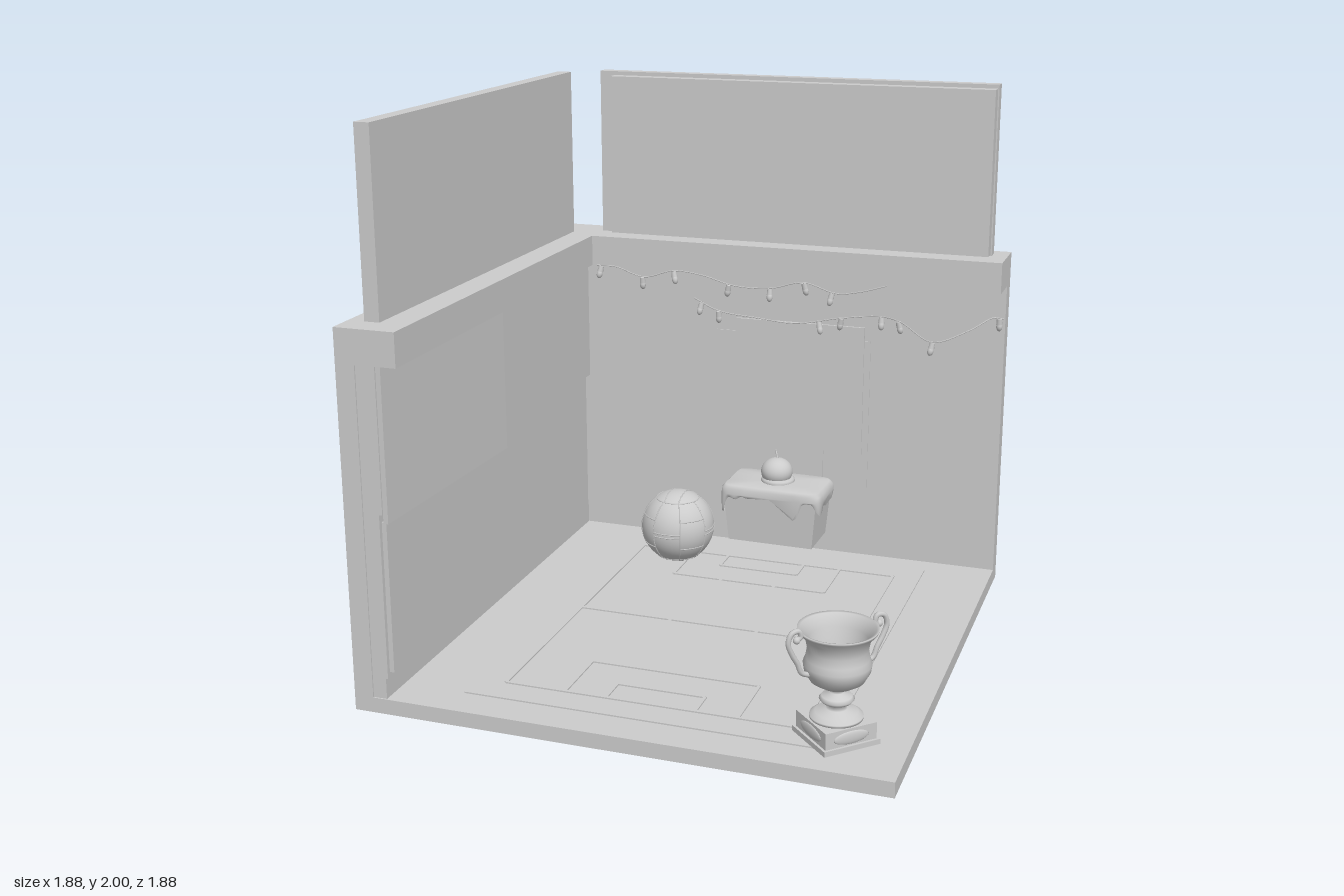
import * as THREE from 'three';

const mat = new THREE.MeshStandardMaterial({ color: 0xcccccc });
const thin = new THREE.MeshStandardMaterial({ color: 0xcccccc, side: THREE.DoubleSide });
const V = (x, y, z) => new THREE.Vector3(x, y, z);

function add(parent, name, geo, pos = [0, 0, 0], material = mat) {
  const m = new THREE.Mesh(geo, material);
  m.name = name;
  m.position.set(...pos);
  parent.add(m);
  return m;
}
function group(parent, name, pos = [0, 0, 0]) {
  const g = new THREE.Group();
  g.name = name;
  g.position.set(...pos);
  parent.add(g);
  return g;
}
// box given by its limits on each axis
function box(parent, name, x0, x1, y0, y1, z0, z1) {
  return add(parent, name, new THREE.BoxGeometry(x1 - x0, y1 - y0, z1 - z0),
    [(x0 + x1) / 2, (y0 + y1) / 2, (z0 + z1) / 2]);
}
const tube = (pts, r, n = 24, sides = 6, closed = false) =>
  new THREE.TubeGeometry(new THREE.CatmullRomCurve3(pts, closed), n, r, sides, closed);

function buildRoom(root) {
  const g = group(root, 'room');
  box(g, 'floor', -0.94, 0.94, 0, 0.055, -0.94, 0.94);
  box(g, 'backWall', -0.94, 0.94, 0.055, 1.35, -0.94, -0.87);
  box(g, 'leftWall', -0.94, -0.87, 0.055, 1.35, -0.87, 0.94);
  box(g, 'backBeam', -0.87, 0.94, 1.23, 1.35, -0.87, -0.72);
  box(g, 'leftBeam', -0.87, -0.72, 1.23, 1.35, -0.72, 0.94);
  // cladding of the left wall
  box(g, 'skirting', -0.87, -0.82, 0.055, 0.13, -0.87, 0.935);
  box(g, 'lowerCladding', -0.87, -0.812, 0.13, 0.72, -0.845, 0.935);
  box(g, 'upperCladding', -0.87, -0.8, 0.72, 1.23, -0.865, 0.935);
  // hung panels, the upper one swung slightly outward
  box(g, 'lowerPanel', -0.812, -0.795, 0.15, 0.69, 0.07, 0.92);
  const p = box(g, 'upperPanel', -0.785, -0.767, 0.69, 1.229, 0.07, 0.93);
  p.rotation.y = -0.035;
  // signs standing on the walls
  box(g, 'leftSign', -0.87, -0.815, 1.355, 2, -0.76, 0.86);
  box(g, 'backSign', -0.72, 0.88, 1.35, 2, -0.89, -0.84);
  box(g, 'backSignFace', -0.66, 0.875, 1.355, 1.985, -0.84, -0.79);
  // flat screen and its backing on the back wall
  box(g, 'screenBacking', -0.235, 0.41, 0.315, 0.965, -0.87, -0.866);
  box(g, 'screen', -0.15, 0.385, 0.49, 1.02, -0.87, -0.86);
  box(g, 'screenStem', -0.04, 0.225, 0.3, 0.49, -0.87, -0.86);
}

function buildPitch(root) {
  const g = group(root, 'pitch', [0.045, 0, 0.02]);
  const y0 = 0.06, y1 = 0.065, w = 0.006;
  box(g, 'mat', -0.635, 0.635, 0.055, y0, -0.79, 0.79);
  const lineX = (z, a, b) => box(g, 'line', a, b, y0, y1, z - w, z + w);
  const lineZ = (x, a, b) => box(g, 'line', x - w, x + w, y0, y1, Math.min(a, b), Math.max(a, b));
  const arc = (z, r, start, len) => {
    const geo = new THREE.RingGeometry(r - w, r + w, 40, 1, start, len).rotateX(-Math.PI / 2);
    add(g, 'arcLine', geo, [0, y1, z], thin);
  };
  lineX(0, -0.53, 0.53);
  arc(0, 0.17, 0, Math.PI * 2);
  for (const s of [-1, 1]) {
    lineZ(s * 0.53, -0.68, 0.68);
    lineX(s * 0.68, -0.53, 0.53);
    for (const [half, depth] of [[0.31, 0.25], [0.16, 0.11]]) {
      lineX(s * (0.68 - depth), -half, half);
      for (const e of [-1, 1]) lineZ(e * half, s * 0.68, s * (0.68 - depth));
    }
    arc(s * 0.43, 0.11, s > 0 ? 0 : Math.PI, Math.PI);
  }
}

function buildBall(root) {
  const g = group(root, 'ball', [-0.182, 0.345, -0.23]);
  const R = 0.139;
  add(g, 'ballBody', new THREE.SphereGeometry(R, 40, 28));
  const at = (lat, lon) => V(Math.cos(lat) * Math.sin(lon), Math.sin(lat), Math.cos(lat) * Math.cos(lon)).multiplyScalar(R);
  const seam = f => add(g, 'seam', tube(Array.from({ length: 13 }, (_, i) => f(i / 12)), 0.0022, 24, 5));
  // upright seams, staggered bands and two strips over each cap
  for (let k = 0; k < 8; k++) {
    const lon = (k + 0.5) * Math.PI / 4;
    seam(t => at(-0.95 + 1.9 * t, lon));
    const lat = k % 2 ? 0.05 : 0.4;
    for (const s of [-1, 1]) {
      seam(t => at(s * lat, lon + t * Math.PI / 4));
      seam(t => at(s * 0.95, lon + t * Math.PI / 4));
    }
  }
  for (const s of [-1, 1]) for (const x of [-0.028, 0.028])
    seam(t => {
      const z = (t - 0.5) * 0.15;
      return V(x, s * Math.sqrt(R * R - x * x - z * z), z);
    });
}

function buildCake(root) {
  const g = group(root, 'cake', [0.073, 0, -0.727]);
  g.rotation.y = -0.02;
  // sponge, wider at the top
  const sponge = new THREE.BoxGeometry(0.39, 0.215, 0.225, 1, 1, 1);
  const p = sponge.attributes.position;
  for (let i = 0; i < p.count; i++)
    if (p.getY(i) < 0) p.setXYZ(i, p.getX(i) * 0.9, p.getY(i), p.getZ(i) * 0.9);
  sponge.computeVertexNormals();
  add(g, 'sponge', sponge, [0, 0.257, 0]);
  // icing: rounded outline in rings, its lower rim running down in drips
  const n = 160, pos = [], idx = [];
  const outline = (t, k) => {
    const c = Math.cos(t), s = Math.sin(t), e = 0.22;
    return [Math.sign(c) * Math.abs(c) ** e * 0.208 * k, Math.sign(s) * Math.abs(s) ** e * 0.121 * k];
  };
  const drip = (x, z) => 0.315 - 0.04 * Math.sin(x * 42 + 1) * Math.cos(z * 30) - 0.022 * Math.sin(x * 75 + z * 50);
  const rings = [[0.97, 0], [1.01, 0.012], [1.015, null, 0.35], [1, null, 0.372], [0.94, null, 0.385], [0.5, null, 0.39], [0.001, null, 0.392]];
  rings.forEach(([k, lift, y]) => {
    for (let i = 0; i < n; i++) {
      const [x, z] = outline(i / n * Math.PI * 2, k);
      pos.push(x, lift === null ? y : Math.min(0.345, drip(x, z) + lift), z);
    }
  });
  for (let r = 0; r < rings.length - 1; r++)
    for (let i = 0; i < n; i++) {
      const a = r * n + i, b = r * n + (i + 1) % n;
      idx.push(a, a + n, b, b, a + n, b + n);
    }
  const icing = new THREE.BufferGeometry();
  icing.setAttribute('position', new THREE.Float32BufferAttribute(pos, 3));
  icing.setIndex(idx);
  icing.computeVertexNormals();
  add(g, 'icing', icing, [0, 0, 0], thin);
  const collar = add(g, 'creamCollar', new THREE.TorusGeometry(0.055, 0.014, 10, 28), [0, 0.392, 0]);
  collar.rotation.x = Math.PI / 2;
  const cherry = add(g, 'cherry', new THREE.SphereGeometry(0.064, 28, 20), [-0.005, 0.428, 0]);
  cherry.scale.y = 0.88;
  add(g, 'cherryStem', tube([V(0, 0.47, 0), V(-0.006, 0.49, -0.006), V(-0.016, 0.512, -0.018)], 0.0035, 10));
}

function buildTrophy(root) {
  const g = group(root, 'trophy', [0.695, 0, 0.72]);
  g.rotation.y = Math.PI / 4;
  box(g, 'plinthFoot', -0.104, 0.104, 0.06, 0.078, -0.104, 0.104);
  box(g, 'plinth', -0.095, 0.095, 0.078, 0.135, -0.095, 0.095);
  // oval plaques on the plinth
  for (let k = 0; k < 4; k++) {
    const pl = add(g, 'plaque', new THREE.SphereGeometry(1, 20, 12));
    pl.scale.set(0.065, 0.022, 0.006);
    pl.rotation.y = k * Math.PI / 2;
    pl.position.set(Math.sin(pl.rotation.y) * 0.095, 0.104, Math.cos(pl.rotation.y) * 0.095);
  }
  const prof = [[0, 0.135], [0.088, 0.135], [0.088, 0.143], [0.07, 0.155], [0.035, 0.166], [0.024, 0.178],
    [0.05, 0.19], [0.058, 0.2], [0.05, 0.21], [0.022, 0.222], [0.024, 0.235], [0.055, 0.246], [0.09, 0.268],
    [0.108, 0.3], [0.112, 0.325], [0.104, 0.345], [0.099, 0.375], [0.106, 0.41], [0.13, 0.438], [0.132, 0.446],
    [0.122, 0.444], [0.096, 0.405], [0.09, 0.35], [0.062, 0.285], [0, 0.275]];
  add(g, 'cup', new THREE.LatheGeometry(prof.map(a => new THREE.Vector2(...a)), 48), [0, 0, 0], thin);
  // mirrored scroll handles
  const path = [[0.098, 0.3], [0.132, 0.315], [0.148, 0.35], [0.168, 0.385], [0.182, 0.425], [0.17, 0.456], [0.145, 0.46], [0.138, 0.44], [0.152, 0.43]];
  for (const s of [-1, 1]) {
    add(g, 'handle', tube(path.map(([x, y]) => V(s * x, y, 0)), 0.009, 48, 8));
    add(g, 'handleTip', new THREE.SphereGeometry(0.012, 12, 8), [s * 0.152, 0.43, 0]);
  }
}

function buildGarland(root, name, pts, bulbs) {
  const g = group(root, name);
  const curve = new THREE.CatmullRomCurve3(pts.map(a => V(...a)));
  add(g, 'cord', new THREE.TubeGeometry(curve, 100, 0.0025, 5));
  const samples = curve.getPoints(400);
  bulbs.forEach((x, i) => {
    const p = samples.reduce((a, b) => Math.abs(b.x - x) < Math.abs(a.x - x) ? b : a);
    const b = group(g, 'bulb', p.toArray());
    b.rotation.z = (i % 3 - 1) * 0.2;
    b.rotation.x = (i % 2 - 0.5) * 0.3;
    add(b, 'socket', new THREE.CylinderGeometry(0.01, 0.012, 0.024, 10), [0, -0.014, 0]);
    const glass = add(b, 'glass', new THREE.SphereGeometry(0.012, 12, 10), [0, -0.036, 0]);
    glass.scale.y = 1.5;
  });
}

export function createModel() {
  const root = new THREE.Group();
  root.name = 'trophyRoom';
  buildRoom(root);
  buildPitch(root);
  buildBall(root);
  buildCake(root);
  buildTrophy(root);
  buildGarland(root, 'upperGarland', [[-0.7, 1.23, -0.72], [-0.62, 1.23, -0.72], [-0.5, 1.195, -0.725], [-0.37, 1.23, -0.72],
    [-0.25, 1.22, -0.72], [-0.12, 1.185, -0.73], [0.03, 1.185, -0.73], [0.17, 1.22, -0.72], [0.3, 1.185, -0.725],
    [0.4, 1.2, -0.72], [0.5, 1.23, -0.72]], [-0.68, -0.505, -0.37, -0.14, 0.03, 0.17, 0.285]);
  buildGarland(root, 'lowerGarland', [[-0.33, 1.09, -0.86], [-0.22, 1.05, -0.84], [-0.06, 1.03, -0.85], [0.1, 1.02, -0.85],
    [0.3, 1.06, -0.84], [0.46, 1.08, -0.83], [0.55, 1.075, -0.78], [0.69, 1.025, -0.71], [0.82, 1.07, -0.76],
    [0.9, 1.11, -0.83], [0.935, 1.1, -0.86]], [-0.295, -0.22, 0.2, 0.295, 0.46, 0.535, 0.69, 0.92]);
  return root;
}
